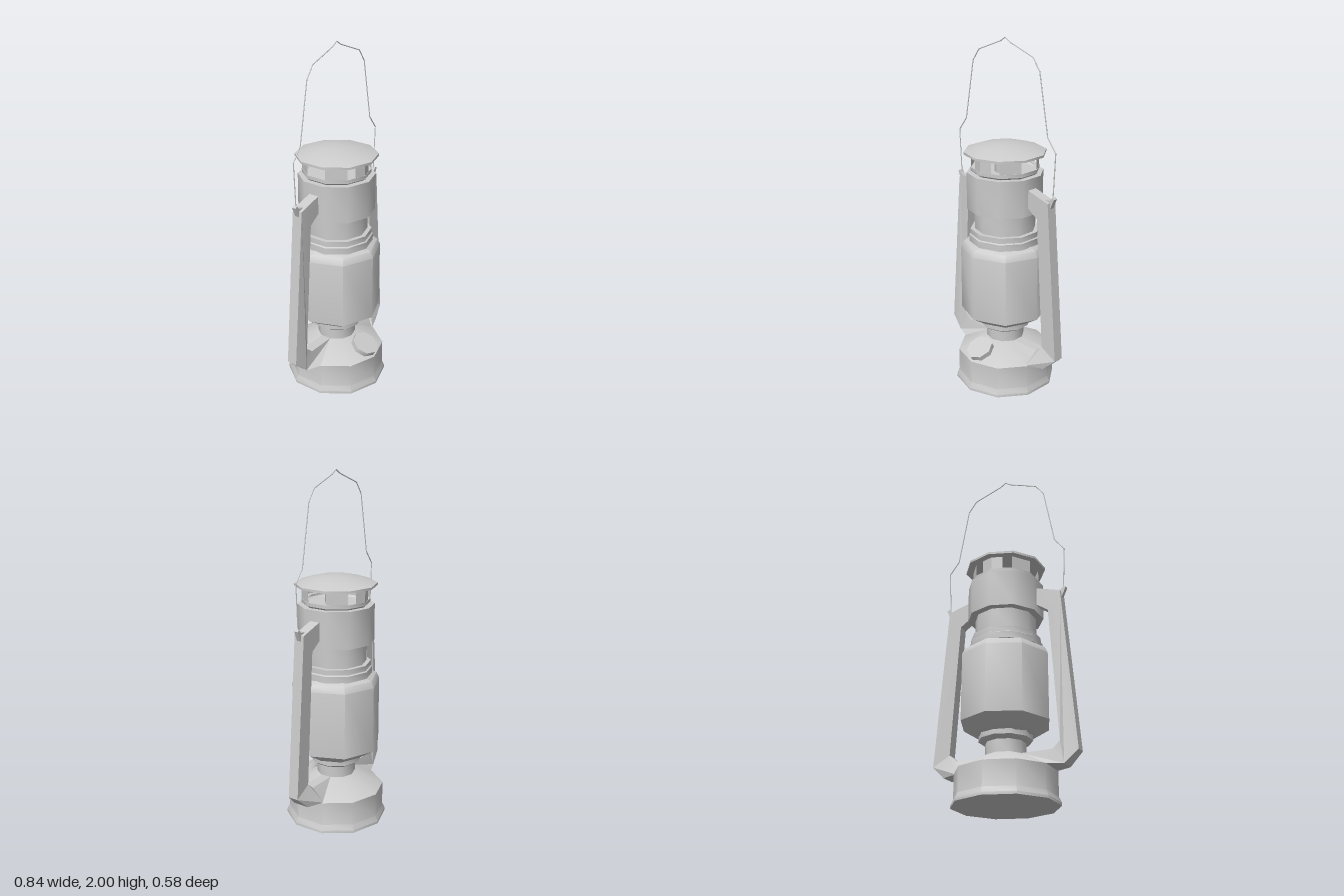
import * as THREE from 'three';
import { toCreasedNormals } from 'three/addons/utils/BufferGeometryUtils.js';

export function createModel() {
  const model = new THREE.Group();
  const material = new THREE.MeshStandardMaterial({ color: 0xcccccc, side: THREE.DoubleSide });

  const add = (name, geometry, parent = model) => {
    const mesh = new THREE.Mesh(geometry, material);
    mesh.name = name;
    parent.add(mesh);
    return mesh;
  };
  // Turned part from [radius, height] points, listed from the bottom up
  const turned = (name, profile, sides = 10, crease = 0.7) => add(name, toCreasedNormals(
    new THREE.LatheGeometry(profile.map(([r, y]) => new THREE.Vector2(r, y)), sides), crease));
  // Flat plate cut from an outline and centred on z = 0
  const plate = (outline, depth) => {
    const shape = new THREE.Shape(outline.map(([x, y]) => new THREE.Vector2(x, y)));
    return new THREE.ExtrudeGeometry(shape, { depth, bevelEnabled: false }).translate(0, 0, -depth / 2);
  };

  // Fuel tank and burner
  turned('fuelTank', [[0, 0], [0.29, 0], [0.29, 0.015], [0.275, 0.045], [0.275, 0.18], [0.11, 0.265], [0, 0.265]]);
  turned('burnerNeck', [[0.11, 0.255], [0.11, 0.34]]);
  turned('burnerCollar', [[0, 0.33], [0.125, 0.335], [0.147, 0.35], [0.147, 0.38], [0, 0.38]]);

  // Glass globe and the collar above it
  turned('globe', [[0.13, 0.37], [0.155, 0.378], [0.252, 0.44], [0.252, 0.82], [0.235, 0.855], [0.19, 0.872]], 8, 0.85);
  turned('globeCollar', [[0, 0.867], [0.205, 0.867], [0.205, 0.905], [0.197, 0.91], [0.197, 0.94], [0, 0.945]]);
  turned('chimney', [[0.173, 0.93], [0.173, 1.07]]);
  turned('hood', [[0, 1.06], [0.215, 1.06], [0.215, 1.27], [0, 1.27]]);

  // Vent with open windows under the cap
  turned('ventRing', [[0.18, 1.27], [0.192, 1.28], [0.192, 1.3], [0.165, 1.3]]);
  turned('ventCore', [[0.06, 1.27], [0.06, 1.375]]);
  const corner = (k) => {
    const a = k * Math.PI / 5;
    return new THREE.Vector3(Math.sin(a), 0, Math.cos(a)).multiplyScalar(0.19);
  };
  const ventPanel = (k, from, to) => {
    const a = corner(k).lerp(corner(k + 1), from), b = corner(k).lerp(corner(k + 1), to);
    const panel = add('ventPanel', new THREE.PlaneGeometry(a.distanceTo(b), 0.085));
    panel.position.copy(a).add(b).multiplyScalar(0.5).setY(1.335);
    panel.rotation.y = (k + 0.5) * Math.PI / 5;
  };
  [1, 3, 6, 8].forEach((k) => ventPanel(k, 0, 1));
  [0, 5].forEach((k) => ventPanel(k, 0, 0.55));
  [4, 9].forEach((k) => ventPanel(k, 0.45, 1));
  turned('cap', [[0, 1.373], [0.23, 1.373], [0.23, 1.386], [0.15, 1.413], [0.07, 1.426], [0, 1.43]]);

  // Filler cap lying on the front slope of the tank
  const filler = new THREE.Group();
  filler.name = 'filler';
  filler.position.set(0, 0.232, 0.2);
  filler.rotation.x = 0.51;
  model.add(filler);
  add('fillerCap', toCreasedNormals(new THREE.CylinderGeometry(0.078, 0.078, 0.03, 8), 0.85), filler)
    .position.y = 0.008;
  add('fillerStem', new THREE.CylinderGeometry(0.05, 0.05, 0.05, 8), filler).position.y = -0.02;

  // Side arms, splayed where their feet meet the tank
  const armOutline = [[0.19, 1.212], [0.345, 1.165], [0.42, 0.25], [0.345, 0.18], [0.25, 0.18], [0.1, 0.266],
    [0.275, 0.266], [0.32, 0.305], [0.27, 1.06], [0.19, 1.115]];
  const earOutline = [[0.305, 1.175], [0.345, 1.18], [0.36, 1.2], [0.373, 1.19], [0.362, 1.165], [0.346, 1.13]];
  // Wire handle path, from the ear to the peak
  const wire = [[0.355, 1.185], [0.368, 1.44], [0.31, 1.515], [0.248, 1.85], [0.2, 1.915], [0.035, 1.975], [0, 1.997]];

  for (const [side, s] of [['left', 1], ['right', -1]]) {
    const mirrored = (points) => points.map(([x, y]) => [s * x, y]);

    const arm = plate(mirrored(armOutline), 0.06);
    const p = arm.attributes.position;
    for (let i = 0; i < p.count; i++) {
      if (p.getY(i) > 0.2) continue;
      p.setZ(i, Math.sign(p.getZ(i)) * (Math.abs(p.getX(i)) > 0.3 ? 0.045 : 0.085));
    }
    add(side + 'Arm', toCreasedNormals(arm, 0.3));
    add(side + 'Ear', plate(mirrored(earOutline), 0.024));

    const points = mirrored(wire).map(([x, y]) => new THREE.Vector3(x, y, 0));
    for (let i = 1; i < points.length; i++) {
      const along = points[i].clone().sub(points[i - 1]);
      const rod = add(side + 'HandleWire', new THREE.CylinderGeometry(0.003, 0.003, along.length() + 0.002, 6));
      rod.position.copy(points[i]).add(points[i - 1]).multiplyScalar(0.5);
      rod.quaternion.setFromUnitVectors(new THREE.Vector3(0, 1, 0), along.normalize());
    }
  }
  return model;
}
